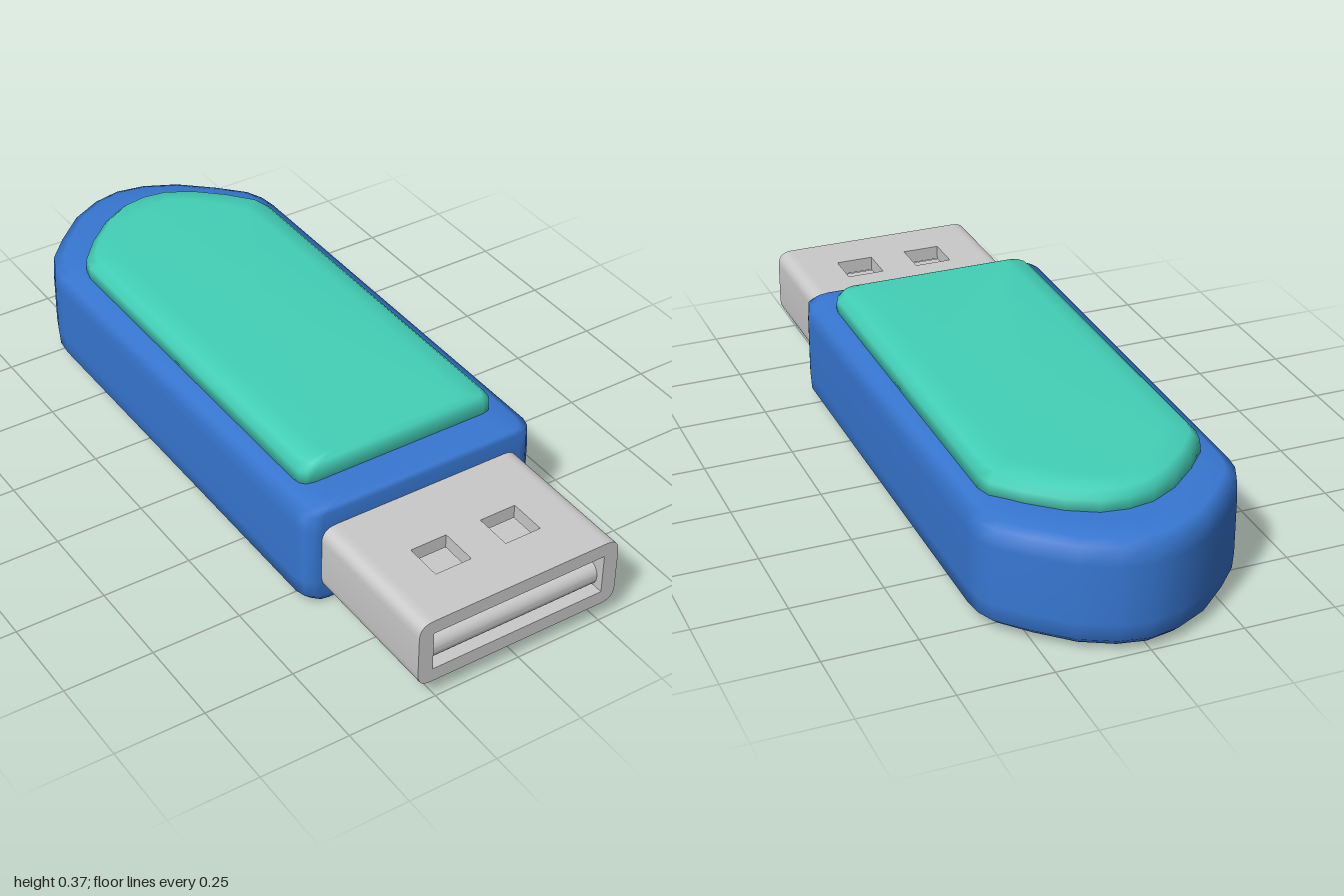
import * as THREE from 'three';
import { toCreasedNormals } from 'three/addons/utils/BufferGeometryUtils.js';
import { RoundedBoxGeometry } from 'three/addons/geometries/RoundedBoxGeometry.js';

const flat = (name, color) => {
  const m = new THREE.MeshStandardMaterial({ color });
  m.name = name;
  return m;
};

// Soft slab: a mirrored plan outline (front centre to back centre) stacked in [y, inset] layers
function softSlab(half, layers) {
  const mirrored = half.slice(1, -1).reverse().map(([x, z]) => [-x, z]);
  const ring = [...half, ...mirrored];
  const n = ring.length;
  const width = Math.max(...half.map(p => p[0]));
  const front = half[0][1], back = -half[half.length - 1][1];
  const pos = [], index = [];
  for (const [y, inset] of layers) {
    for (const [x, z] of ring) {
      // the front edge is crisper than the sides and the tip
      const k = z > 0 ? 1 - 0.3 * inset / front : 1 - inset / back;
      pos.push(x * (1 - inset / width), y, z * k);
    }
  }
  for (let l = 0; l < layers.length - 1; l++) {
    for (let i = 0; i < n; i++) {
      const a = l * n + i, b = l * n + (i + 1) % n;
      index.push(a, b, b + n, a, b + n, a + n);
    }
  }
  const top = (layers.length - 1) * n, c0 = layers.length * n;
  pos.push(0, layers[0][0], -0.2, 0, layers[layers.length - 1][0], -0.2);
  for (let i = 0; i < n; i++) {
    const j = (i + 1) % n;
    index.push(c0, j, i, c0 + 1, top + i, top + j);
  }
  const g = new THREE.BufferGeometry();
  g.setAttribute('position', new THREE.Float32BufferAttribute(pos, 3));
  g.setIndex(index);
  g.computeVertexNormals();
  return g;
}

function rectPath(path, x0, y0, x1, y1) {
  path.moveTo(x0, y0);
  path.lineTo(x1, y0);
  path.lineTo(x1, y1);
  path.lineTo(x0, y1);
  path.closePath();
  return path;
}

export function createModel() {
  const group = new THREE.Group();
  const blue = flat('body blue', 0x3777d2);
  const teal = flat('cover teal', 0x43d0b7);
  const grey = flat('connector grey', 0xcacaca);
  const add = (name, geometry, material, parent = group) => {
    const mesh = new THREE.Mesh(geometry, material);
    mesh.name = name;
    parent.add(mesh);
    return mesh;
  };

  // Body with an arched back end
  add('body', softSlab([
    [0, 0.58], [0.3, 0.58], [0.325, 0.576], [0.344, 0.558], [0.352, 0.53],
    [0.352, -0.69], [0.346, -0.74], [0.325, -0.79], [0.26, -0.86],
    [0.17, -0.94], [0.08, -0.985], [0, -1],
  ], [[0, 0.09], [0.01, 0.027], [0.033, 0.003], [0.08, 0],
    [0.24, 0], [0.292, 0.003], [0.304, 0.027], [0.312, 0.09]]), blue);

  // Raised cover on top
  add('topCover', softSlab([
    [0, 0.478], [0.26, 0.478], [0.282, 0.47], [0.293, 0.455], [0.297, 0.43],
    [0.297, -0.62], [0.285, -0.665], [0.225, -0.735], [0.145, -0.805],
    [0.07, -0.845], [0, -0.855],
  ], [[0.29, 0], [0.342, 0.003], [0.362, 0.024], [0.37, 0.08]]), teal);

  // Hollow metal connector
  const shell = new THREE.Group();
  shell.name = 'connectorShell';
  shell.position.x = -0.006;
  group.add(shell);
  const inner = 0.256, outer = 0.299, y0 = 0.055, y1 = 0.25, z0 = 0.5, z1 = 1, r = 0.04;

  // Top and bottom plates, each with two square holes
  const plate = rectPath(new THREE.Shape(), -inner, -z1, inner, -z0);
  for (const x of [-0.105, 0.105]) {
    plate.holes.push(rectPath(new THREE.Path(), x - 0.053, -0.865, x + 0.053, -0.76));
  }
  const plateGeo = new THREE.ExtrudeGeometry(plate, { depth: 0.04, bevelEnabled: false });
  plateGeo.rotateX(-Math.PI / 2);
  add('bottomPlate', plateGeo, grey, shell).position.y = y0;
  add('topPlate', plateGeo, grey, shell).position.y = y1 - 0.04;

  // Side walls with rounded outer corners
  for (const s of [1, -1]) {
    const wall = new THREE.Shape();
    wall.moveTo(s * inner, y0);
    wall.lineTo(s * (outer - r), y0);
    wall.quadraticCurveTo(s * outer, y0, s * outer, y0 + r);
    wall.lineTo(s * outer, y1 - r);
    wall.quadraticCurveTo(s * outer, y1, s * (outer - r), y1);
    wall.lineTo(s * inner, y1);
    wall.closePath();
    const geo = new THREE.ExtrudeGeometry(wall, { depth: z1 - z0, bevelEnabled: false, curveSegments: 6 });
    geo.translate(0, 0, z0);
    add(s > 0 ? 'leftWall' : 'rightWall', toCreasedNormals(geo, 0.6), grey, shell);
  }

  // Contact tongue inside the connector, its ends sunk in the walls
  add('contactTongue', new RoundedBoxGeometry(0.57, 0.072, 0.46, 4, 0.033), grey, shell)
    .position.set(0, 0.129, 0.75);

  return group;
}
